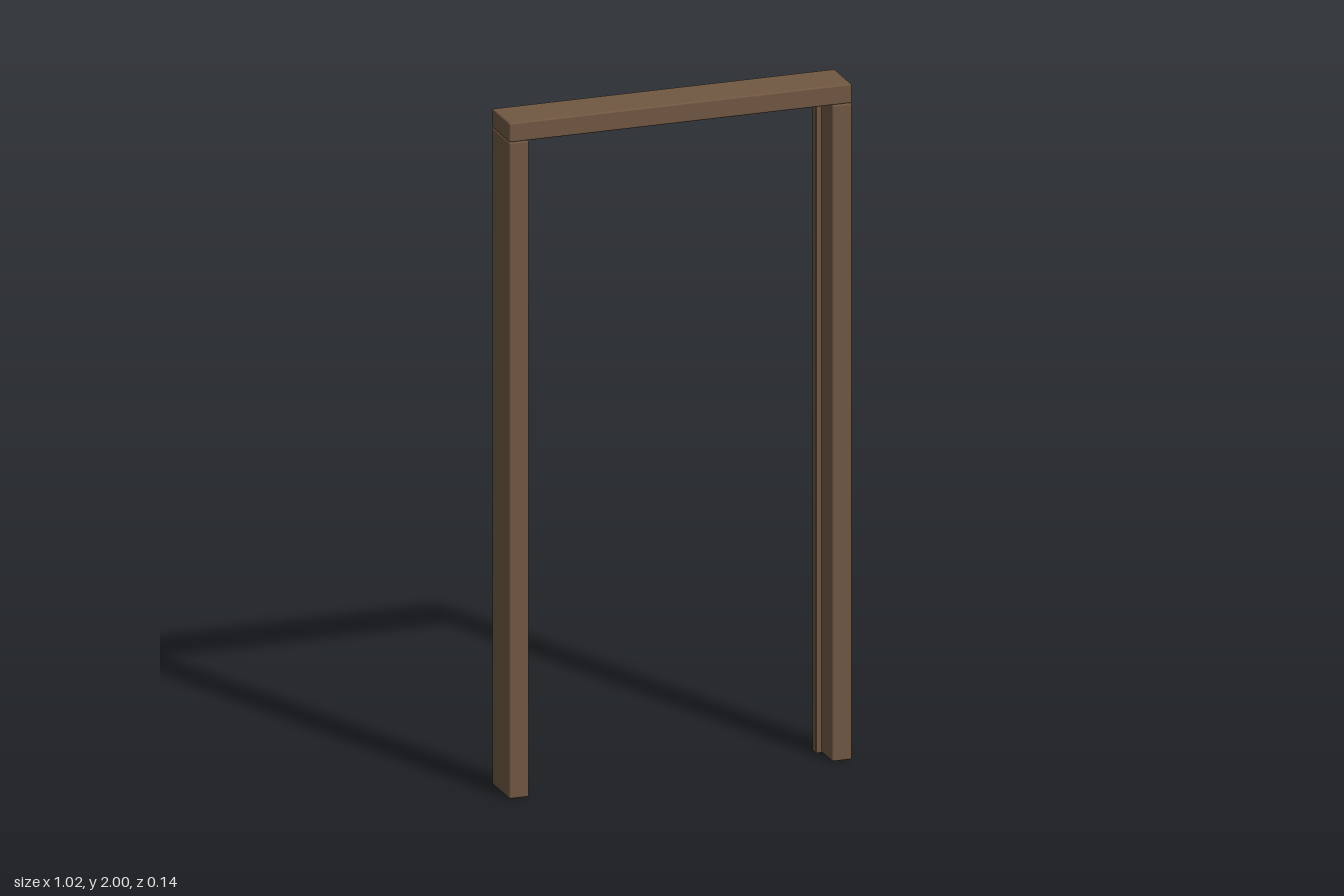
import * as THREE from 'three';
import { RoundedBoxGeometry } from 'three/addons/geometries/RoundedBoxGeometry.js';

const wood = new THREE.MeshStandardMaterial({ color: 0x705742 });
wood.name = 'brown wood';

// Softly eased timber given by its min and max corners
function timber(name, [x0, y0, z0], [x1, y1, z1], radius) {
  const geometry = new RoundedBoxGeometry(x1 - x0, y1 - y0, z1 - z0, 2, radius);
  const mesh = new THREE.Mesh(geometry, wood);
  mesh.position.set((x0 + x1) / 2, (y0 + y1) / 2, (z0 + z1) / 2);
  mesh.name = name;
  return mesh;
}

export function createModel() {
  const group = new THREE.Group();
  group.name = 'doorFrame';

  const outer = 0.512, inner = 0.453, stop = 0.436; // half widths
  const depth = 0.071, headBottom = 1.943;
  const stopBack = -0.045, stopFront = -0.015;

  // Head beam across the top
  group.add(timber('headBeam', [-outer, headBottom, -depth], [outer, 2, depth], 0.005));

  // Side posts with the door stop strip on each inner face
  for (const [side, s] of [['left', 1], ['right', -1]]) {
    const span = (a, b) => [Math.min(s * a, s * b), Math.max(s * a, s * b)];
    const [p0, p1] = span(inner, outer);
    const [s0, s1] = span(stop, inner + 0.004);
    group.add(timber(side + 'Post', [p0, 0, -depth], [p1, headBottom, depth], 0.005));
    group.add(timber(side + 'Stop', [s0, 0, stopBack], [s1, headBottom, stopFront], 0.002));
  }

  // Door stop strip under the head beam
  group.add(timber('headStop', [-inner, 1.926, stopBack], [inner, headBottom + 0.004, stopFront], 0.002));

  return group;
}
